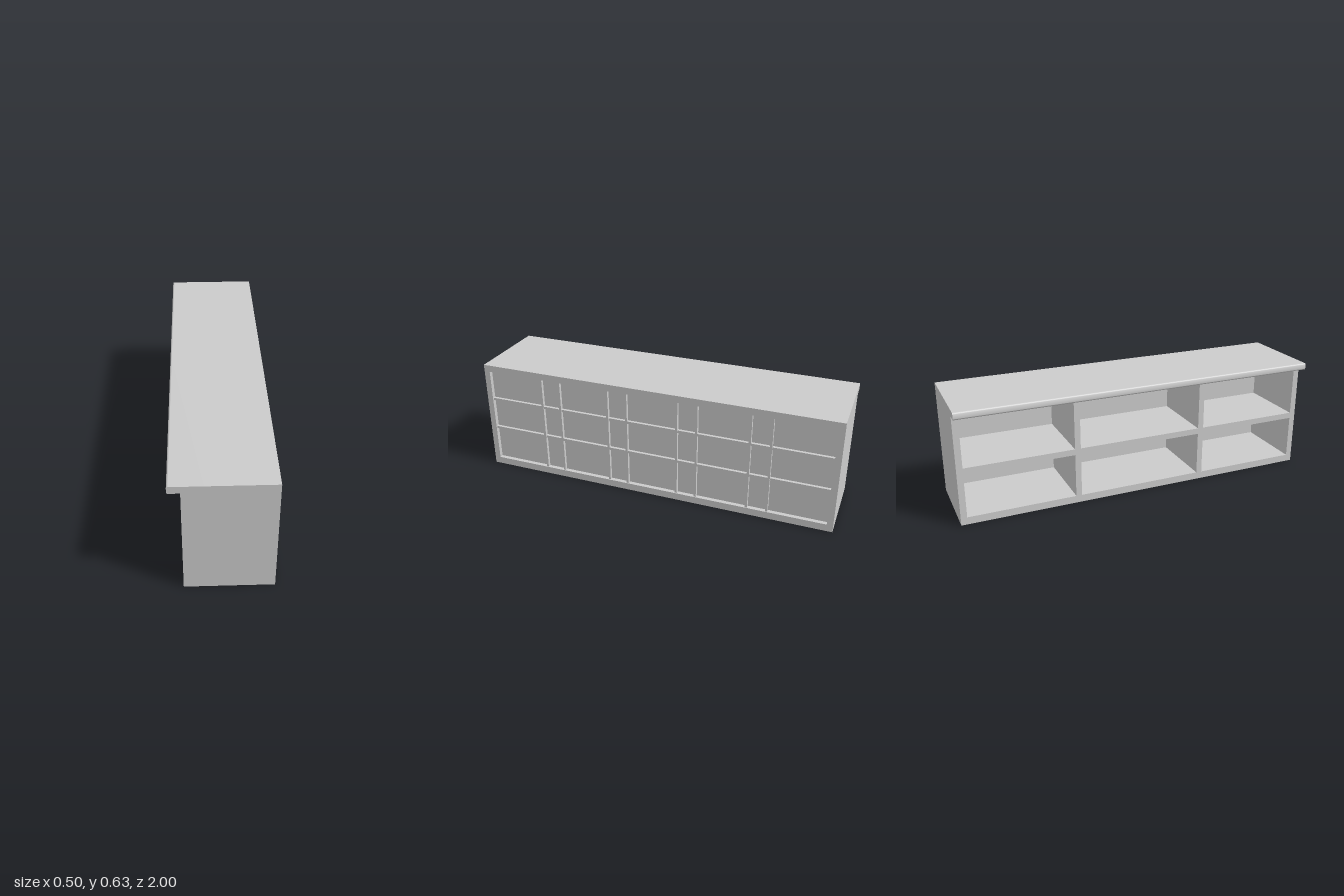
import * as THREE from 'three';
import { toCreasedNormals } from 'three/addons/utils/BufferGeometryUtils.js';

const material = new THREE.MeshStandardMaterial({ color: 0xcccccc });

export function createModel() {
  const group = new THREE.Group();

  const add = (name, geometry) => {
    const mesh = new THREE.Mesh(geometry, material);
    mesh.name = name;
    group.add(mesh);
    return mesh;
  };
  // Box given by its extents on each axis
  const board = (name, [x0, x1], [y0, y1], [z0, z1]) =>
    add(name, new THREE.BoxGeometry(x1 - x0, y1 - y0, z1 - z0))
      .position.set((x0 + x1) / 2, (y0 + y1) / 2, (z0 + z1) / 2);

  const back = -0.188, face = 0.247;   // open shelf side, panelled side
  const base = 0.04, under = 0.592, top = 0.63;
  const end = 0.967;                   // inner face of the end walls
  const panelX = 0.224;                // recessed panel surface

  // Counter top: overhangs the open side with a rounded edge
  const r = 0.008, lip = -0.248;
  const profile = new THREE.Shape();
  profile.moveTo(face, under);
  profile.lineTo(face, top);
  profile.lineTo(lip + r, top);
  profile.absarc(lip + r, top - r, r, Math.PI / 2, Math.PI, false);
  profile.absarc(lip + r, under + r, r, Math.PI, Math.PI * 1.5, false);
  profile.closePath();
  const slab = new THREE.ExtrudeGeometry(profile, { depth: 2, bevelEnabled: false, curveSegments: 6 });
  slab.translate(0, 0, -1);
  add('counterTop', toCreasedNormals(slab, 0.6));

  // Carcass
  board('bottomBoard', [back, face], [0, base], [-1, 1]);
  board('endWallFront', [back, face], [base, under], [end, 1]);
  board('endWallBack', [back, face], [base, under], [-1, -end]);
  board('recessedPanel', [panelX - 0.02, panelX], [base, under], [-end, end]);

  // Open shelving: three bays, two tiers
  const inside = [back, panelX - 0.02];
  const shelf = [0.28, 0.313];
  board('shelf', inside, shelf, [-end, end]);
  for (const z of [-0.365, 0.365]) {
    board('dividerLower', inside, [base, shelf[0]], [z - 0.016, z + 0.016]);
    board('dividerUpper', inside, [shelf[1], under], [z - 0.016, z + 0.016]);
  }

  // Raised lattice on the panelled side: paired uprights and two rails
  const half = 0.006;
  for (const centre of [-0.594, -0.198, 0.198, 0.594]) {
    for (const side of [-1, 1]) {
      const z = centre + side * 0.055;
      board('latticeUpright', [panelX, panelX + 0.018], [base, under], [z - half, z + half]);
    }
  }
  for (const y of [0.239, 0.421]) {
    board('latticeRail', [panelX, panelX + 0.016], [y - 0.007, y + 0.007], [-end, end]);
  }

  return group;
}
